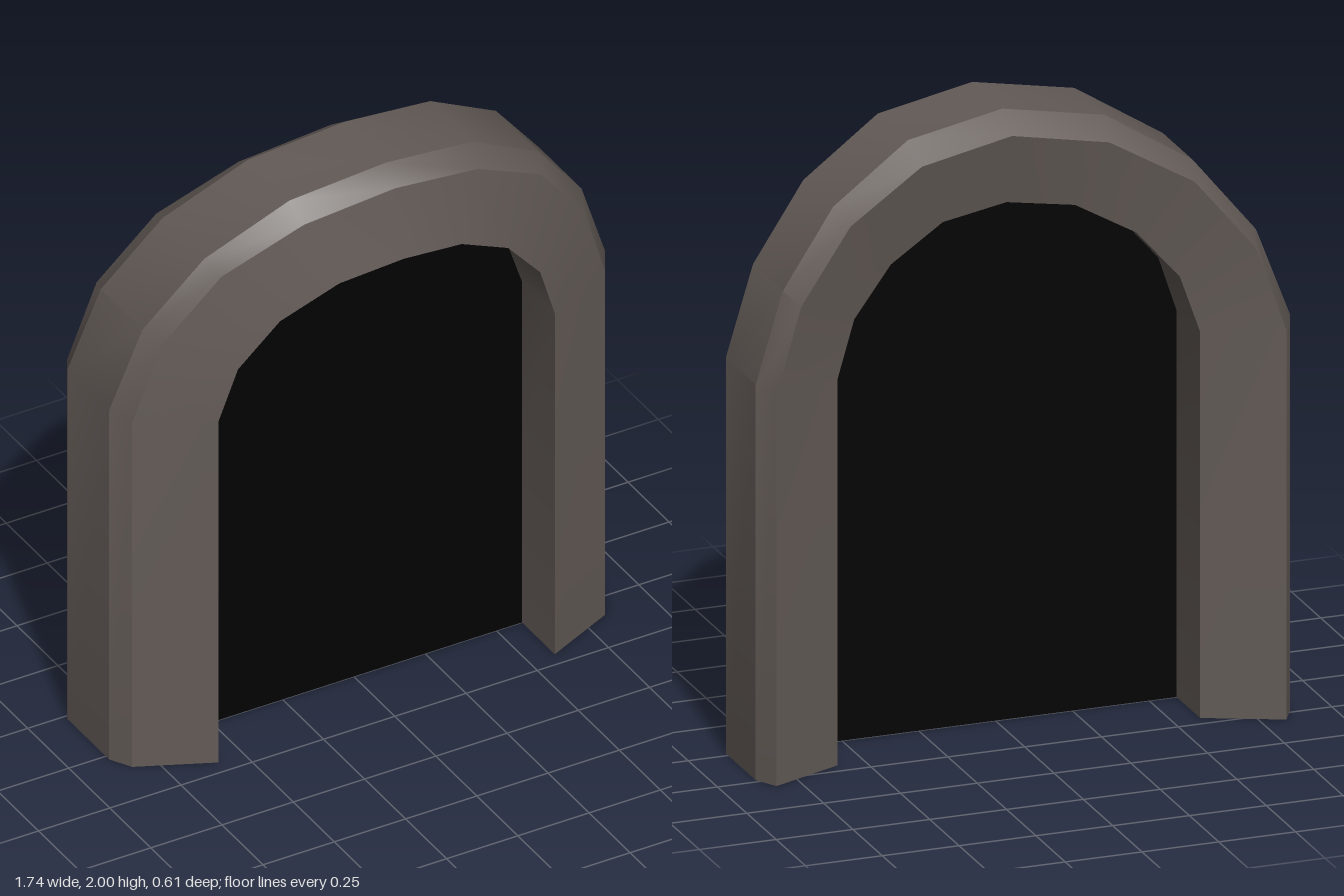
import * as THREE from 'three';
import { toCreasedNormals } from 'three/addons/utils/BufferGeometryUtils.js';

// Half-arch rails from spring line to crown: [x, y, z of the front edge]
const inner = [[0.59, 1.25, 0.2], [0.53, 1.43, 0.215], [0.4, 1.58, 0.245], [0.215, 1.68, 0.285], [0, 1.71, 0.305]];
const bevel = [[0.83, 1.26, 0.09], [0.74, 1.53, 0.115], [0.56, 1.75, 0.165], [0.305, 1.89, 0.225], [0, 1.94, 0.255]];
const outer = [[0.87, 1.28, 0.02], [0.77, 1.56, 0.05], [0.585, 1.79, 0.105], [0.32, 1.95, 0.165], [0, 2, 0.197]];

// Runs a half rail from the left foot over the crown to the right foot
function fullRail(half) {
  const [x, , z] = half[0];
  const side = [[x, 0, z], ...half];
  const mirrored = side.slice(0, -1).reverse().map(([px, py, pz]) => [-px, py, pz]);
  return [...side, ...mirrored];
}

const pushBack = (rail, depth) => rail.map(([x, y, z]) => [x, y, z - depth]);

// Skins neighbouring rails into a closed tube with open feet
function frameGeometry() {
  const [a, b, c] = [inner, bevel, outer].map(fullRail);
  const rails = [a, b, c, pushBack(c, 0.255), pushBack(b, 0.397), pushBack(a, 0.4)];
  const count = rails.length;
  const steps = a.length;
  const positions = [];
  const index = [];
  for (let s = 0; s < steps; s++) {
    for (const rail of rails) positions.push(...rail[s]);
  }
  for (let s = 0; s < steps - 1; s++) {
    for (let i = 0; i < count; i++) {
      const p = s * count + i;
      const q = s * count + (i + 1) % count;
      index.push(p, q, q + count, p, q + count, p + count);
    }
  }
  const geometry = new THREE.BufferGeometry();
  geometry.setAttribute('position', new THREE.Float32BufferAttribute(positions, 3));
  geometry.setIndex(index);
  return toCreasedNormals(geometry, 0.48);
}

// Flat sheet whose rim is tucked inside the frame
function panelGeometry() {
  const a = fullRail(inner);
  const b = fullRail(bevel);
  const rim = a.map(([x, y], i) => new THREE.Vector2(
    THREE.MathUtils.lerp(x, b[i][0], 0.32),
    THREE.MathUtils.lerp(y, b[i][1], 0.32),
  ));
  return new THREE.ShapeGeometry(new THREE.Shape(rim));
}

export function createModel() {
  const model = new THREE.Group();
  model.name = 'archedDoorway';

  const frame = new THREE.Mesh(
    frameGeometry(),
    new THREE.MeshStandardMaterial({ color: 0x625a56, side: THREE.DoubleSide }),
  );
  frame.name = 'archFrame';

  const panel = new THREE.Mesh(
    panelGeometry(),
    new THREE.MeshStandardMaterial({ color: 0x020202, side: THREE.DoubleSide }),
  );
  panel.name = 'darkPanel';

  model.add(frame, panel);
  return model;
}
